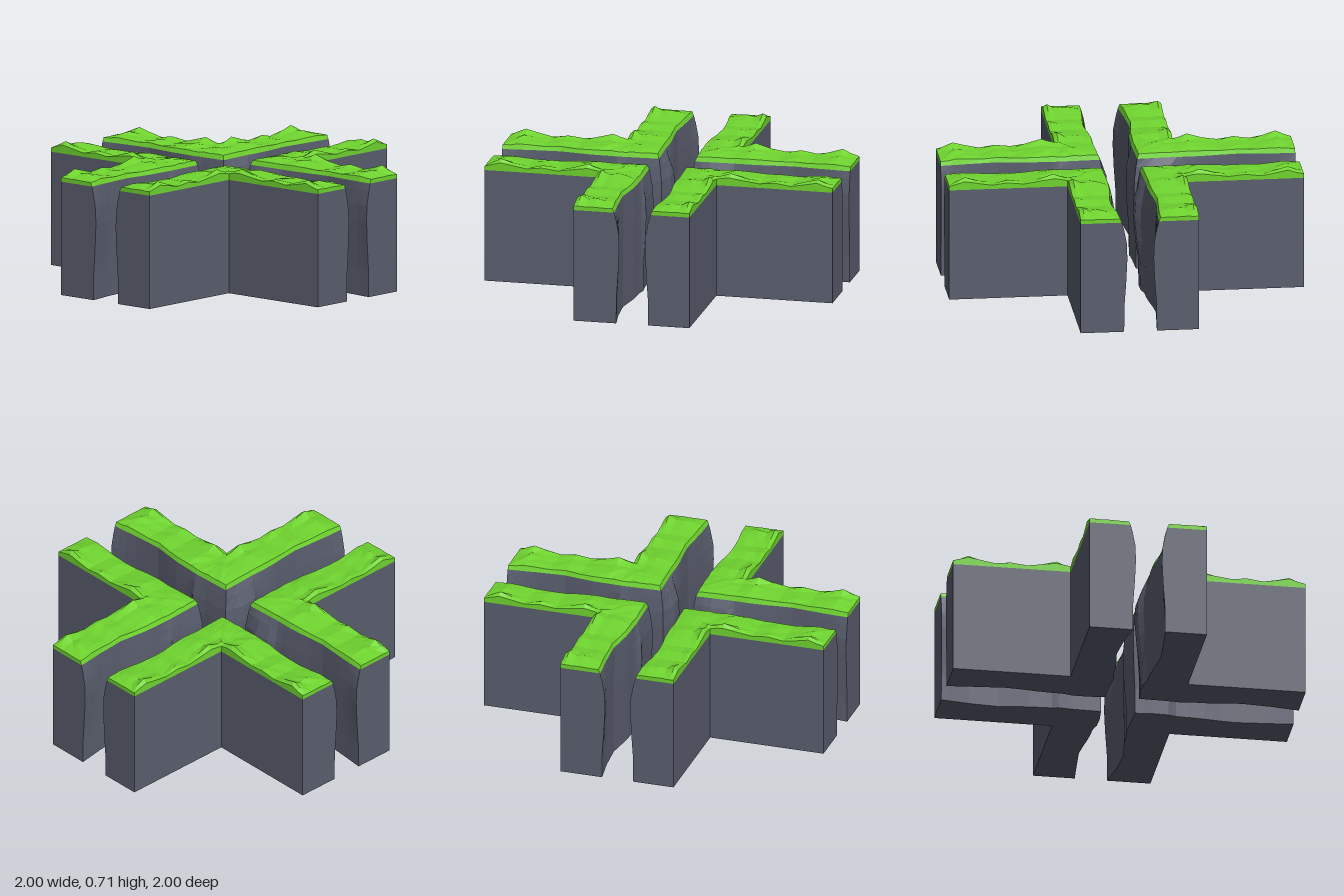
import * as THREE from 'three';

const OUT = 0.333, SEAM = 0.645;

// piecewise-linear curve through [input, value] pairs
function curve(points) {
  return (v) => {
    if (v <= points[0][0]) return points[0][1];
    for (let i = 1; i < points.length; i++) {
      const [a, p] = points[i - 1], [b, q] = points[i];
      if (v <= b) return p + (q - p) * (v - a) / (b - a);
    }
    return points[points.length - 1][1];
  };
}

// inner edge of each arm, and how far the rock swells past it
const edgeX = curve([[0.1, 0.108], [0.33, 0.1], [0.5, 0.105], [0.67, 0.127], [0.85, 0.115], [0.93, 0.105], [1, 0.1]]);
const swellX = curve([[0.1, 0.02], [0.27, 0.018], [0.33, 0.032], [0.38, 0.008], [0.67, 0.003], [0.88, 0.01], [1, 0.03]]);
const edgeZ = curve([[0.1, 0.1], [0.33, 0.11], [0.45, 0.107], [0.65, 0.13], [0.9, 0.11], [1, 0.108]]);
const swellZ = curve([[0.1, 0.02], [0.2, 0.055], [0.29, 0.058], [0.34, 0.025], [0.45, 0.013], [0.65, 0.005], [0.9, 0.01], [1, 0.03]]);
const bulge = curve([[0, 0.4], [0.15, 0.45], [0.3, 0.8], [0.43, 1], [0.52, 0.9], [0.6, 0.4], [SEAM, 0]]);

// turf height along an arm and across it
const ridge = curve([[0.1, 0.03], [0.22, 0.035], [0.33, 0.022], [0.41, 0.045], [0.58, 0.002],
  [0.67, 0.02], [0.76, 0.002], [0.91, 0.045], [1, 0.004]]);
const across = curve([[0.1, 0.1], [0.15, 0.4], [0.22, 0.6], [0.26, 0.45], [0.31, 1], [OUT, 0.6]]);
function turfHeight(x, z) {
  const s = Math.max(x, z), c = Math.min(x, z);
  return 0.666 + ridge(s) * across(c) + 0.003 * Math.sin(57 * x + 3) * Math.sin(49 * z);
}

// stations run from the tip of one arm, round the corner, to the tip of the other
const steps = [1, 0.955, 0.91, 0.84, 0.76, 0.67, 0.58, 0.5, 0.41, 0.37, OUT, 0.29, 0.25, 0.2, 0.15];
const stations = [
  ...steps.map((s) => ({ s, arm: 'x' })),
  { s: 0.1, arm: 'corner' },
  ...steps.slice().reverse().map((s) => ({ s, arm: 'z' })),
];

function innerPoint({ s, arm }, y) {
  const z = edgeX(s) - swellX(s) * bulge(y);
  const x = edgeZ(s) - swellZ(s) * bulge(y);
  if (arm === 'x') return [s, z];
  if (arm === 'z') return [x, s];
  return [x, z];
}

function outerPoint({ s, arm }) {
  const far = Math.max(s, OUT);
  return arm === 'x' ? [far, OUT] : arm === 'z' ? [OUT, far] : [OUT, OUT];
}

function rockRing(st) {
  const [ox, oz] = outerPoint(st);
  const ring = [[ox, 0, oz], [ox, SEAM, oz]];
  for (const y of [SEAM, 0.6, 0.52, 0.43, 0.3, 0.15, 0]) {
    const [x, z] = innerPoint(st, y);
    ring.push([x, y, z]);
  }
  return ring;
}

function turfRing(st) {
  const [ox, oz] = outerPoint(st), [ix, iz] = innerPoint(st, SEAM);
  const ring = [[ox, SEAM, oz]];
  for (const t of [0, 0.1, 0.3, 0.5, 0.75, 0.96]) {
    const x = ox + (ix - ox) * t, z = oz + (iz - oz) * t;
    ring.push([x, turfHeight(x, z), z]);
  }
  ring.push([ix, SEAM, iz]);
  return ring;
}

// skin closed rings and cap both ends
function loft(rings) {
  const pos = [], n = rings[0].length;
  const tri = (a, b, c) => pos.push(...a, ...b, ...c);
  for (let i = 0; i < rings.length - 1; i++) {
    for (let j = 0; j < n; j++) {
      const k = (j + 1) % n;
      const a = rings[i][j], b = rings[i + 1][j], c = rings[i + 1][k], d = rings[i][k];
      tri(a, d, b);
      tri(b, d, c);
    }
  }
  const cap = (ring, flip) => {
    const mid = [0, 1, 2].map((m) => ring.reduce((sum, p) => sum + p[m], 0) / n);
    ring.forEach((p, j) => {
      const q = ring[(j + 1) % n];
      if (flip) tri(mid, q, p);
      else tri(mid, p, q);
    });
  };
  cap(rings[0], true);
  cap(rings[rings.length - 1], false);
  const geometry = new THREE.BufferGeometry();
  geometry.setAttribute('position', new THREE.Float32BufferAttribute(pos, 3));
  geometry.computeVertexNormals();
  return geometry;
}

export function createModel() {
  const model = new THREE.Group();
  model.name = 'cliffCrossing';
  const rockMaterial = new THREE.MeshStandardMaterial({ color: 0x5a5e6e, flatShading: true });
  const turfMaterial = new THREE.MeshStandardMaterial({ color: 0x6fd42f, flatShading: true });
  const rockGeometry = loft(stations.map(rockRing));
  const turfGeometry = loft(stations.map(turfRing));

  // four identical L-shaped cliffs, a quarter turn apart
  for (let i = 0; i < 4; i++) {
    const cliff = new THREE.Group();
    cliff.name = `cliffCorner${i + 1}`;
    const rock = new THREE.Mesh(rockGeometry, rockMaterial);
    rock.name = 'rockWall';
    const turf = new THREE.Mesh(turfGeometry, turfMaterial);
    turf.name = 'grassTop';
    cliff.add(rock, turf);
    cliff.rotation.y = i * Math.PI / 2;
    model.add(cliff);
  }
  return model;
}
